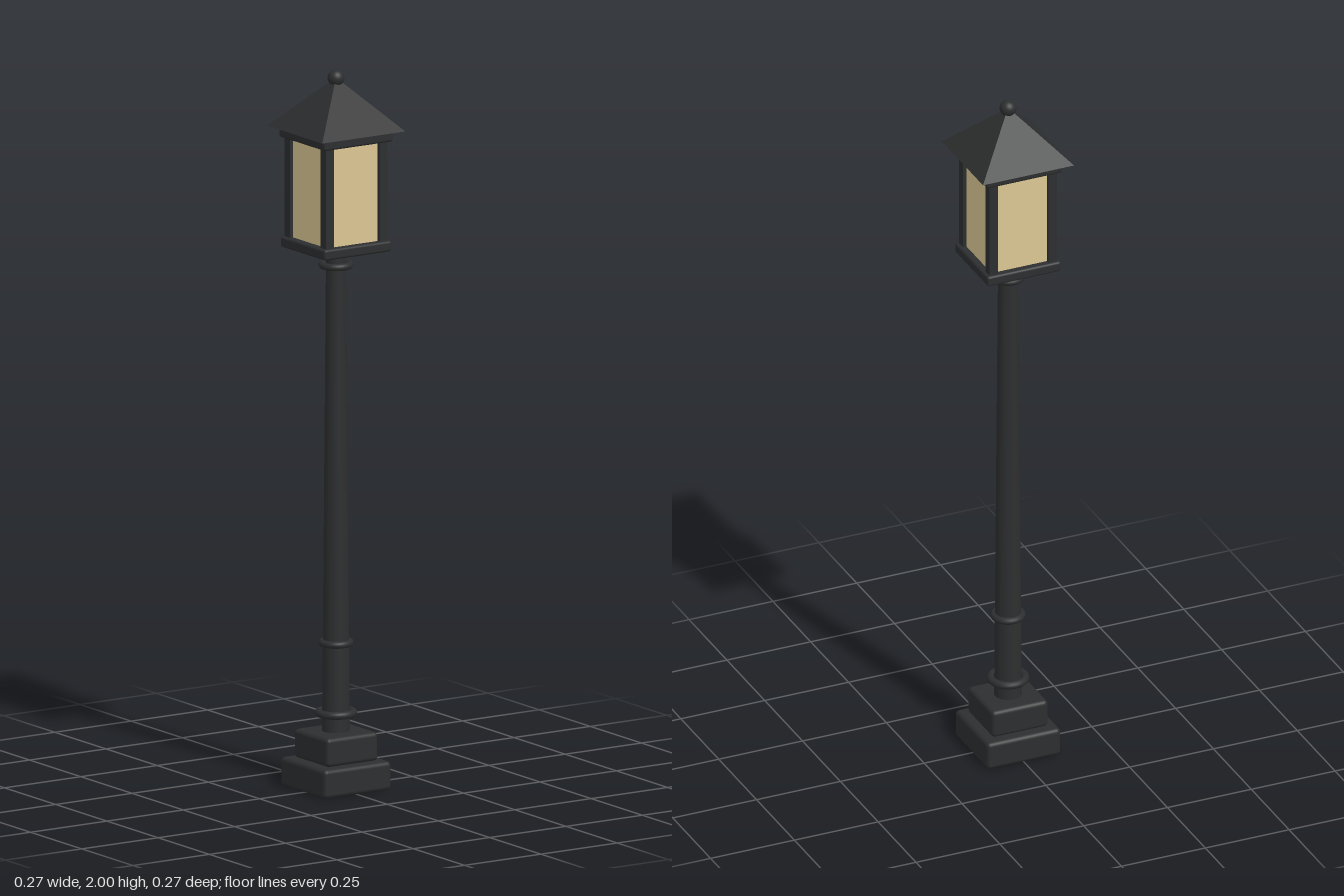
import * as THREE from 'three';
import { RoundedBoxGeometry } from 'three/addons/geometries/RoundedBoxGeometry.js';

export function createModel() {
  const model = new THREE.Group();
  model.name = 'streetLamp';

  const iron = new THREE.MeshStandardMaterial({ color: 0x2d2e2f });
  iron.name = 'darkIron';
  const glass = new THREE.MeshStandardMaterial({ color: 0xdcc793 });
  glass.name = 'warmGlass';

  function add(name, geometry, material, x, y, z) {
    const mesh = new THREE.Mesh(geometry, material);
    mesh.name = name;
    mesh.position.set(x, y, z);
    model.add(mesh);
    return mesh;
  }

  // Square block with softened edges, from height y0 to y1
  function block(name, width, y0, y1, radius) {
    add(name, new RoundedBoxGeometry(width, y1 - y0, width, 3, radius), iron, 0, (y0 + y1) / 2, 0);
  }

  // Stepped plinth
  block('plinth', 0.22, 0, 0.08, 0.012);
  block('plinthStep', 0.168, 0.08, 0.16, 0.012);

  // Tapered pole
  add('pole', new THREE.CylinderGeometry(0.027, 0.038, 1.36, 32), iron, 0, 0.83, 0);

  // Rings around the pole
  const rings = [
    ['baseRing', 0.21, 0.047, 0.011],
    ['lowerRing', 0.405, 0.038, 0.01],
    ['topRing', 1.457, 0.038, 0.01],
  ];
  for (const [name, y, radius, tube] of rings) {
    add(name, new THREE.TorusGeometry(radius, tube, 12, 40), iron, 0, y, 0).rotation.x = Math.PI / 2;
  }

  // Lantern frame: floor, top rail and corner posts
  block('lanternFloor', 0.22, 1.5, 1.53, 0.007);
  block('lanternTopRail', 0.225, 1.806, 1.84, 0.007);
  for (const x of [-1, 1]) {
    for (const z of [-1, 1]) {
      add('cornerPost', new THREE.BoxGeometry(0.026, 0.29, 0.026), iron, x * 0.088, 1.668, z * 0.088);
    }
  }

  // Four glass panes between the posts
  for (let i = 0; i < 4; i++) {
    const angle = (i * Math.PI) / 2;
    const pane = add('glassPane', new THREE.BoxGeometry(0.154, 0.285, 0.008), glass,
      Math.sin(angle) * 0.086, 1.668, Math.cos(angle) * 0.086);
    pane.rotation.y = angle;
  }

  // Pyramid roof and ball finial
  const roof = new THREE.ConeGeometry(0.136 * Math.SQRT2, 0.142, 4).toNonIndexed();
  roof.computeVertexNormals();
  add('roof', roof, iron, 0, 1.907, 0).rotation.y = Math.PI / 4;
  add('finial', new THREE.SphereGeometry(0.023, 24, 16), iron, 0, 1.977, 0);

  return model;
}
